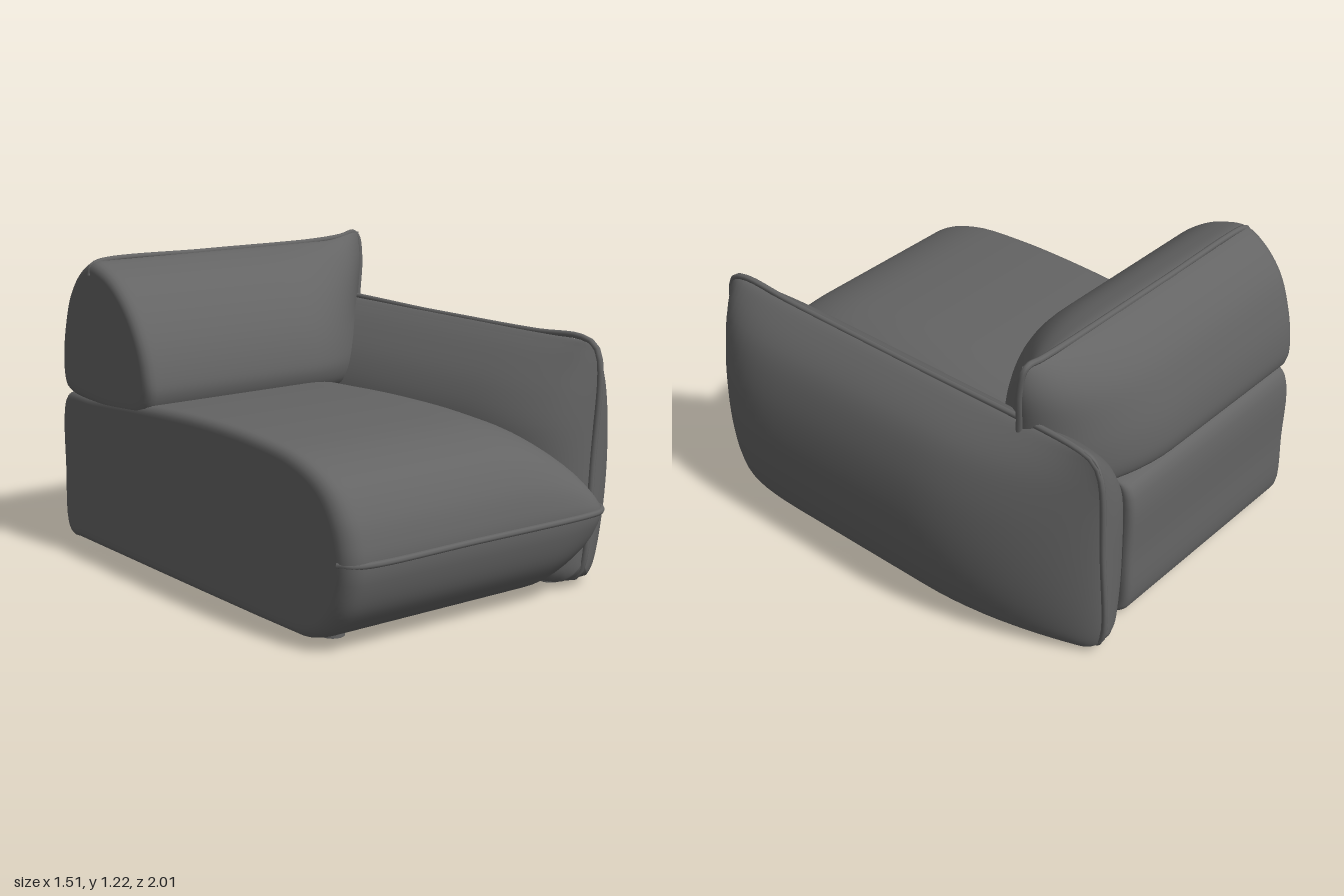
import * as THREE from 'three';

const STEPS = 5; // subdivisions between section points

// Smooth closed cross-section through a few [a, b] points
function section(points) {
  const curve = new THREE.CatmullRomCurve3(points.map(([a, b]) => new THREE.Vector3(a, b, 0)), true);
  return curve.getPoints(points.length * STEPS).slice(0, -1);
}

// Skin between closed loops; "open" tells which faces to leave out
function loft(rings, open) {
  const n = rings[0].length, pos = rings.flat(2), index = [];
  const mid = (ids, k) => ids.reduce((s, v) => s + pos[v * 3 + k], 0) / 4;
  for (let i = 0; i < rings.length - 1; i++) {
    for (let j = 0; j < n; j++) {
      const a = i * n + j, b = i * n + (j + 1) % n, c = a + n, d = b + n;
      const quad = [a, b, c, d];
      if (open(mid(quad, 0), mid(quad, 1), mid(quad, 2))) continue;
      index.push(a, b, c, b, d, c);
    }
  }
  const g = new THREE.BufferGeometry();
  g.setAttribute('position', new THREE.Float32BufferAttribute(pos, 3));
  g.setIndex(index);
  g.computeVertexNormals();
  return g;
}

// Inset of a rounded corner of radius r at distance d from the end
function corner(d, r) {
  const k = THREE.MathUtils.clamp(r - d, 0, r);
  return r - Math.sqrt(r * r - k * k);
}

// Pillow fullness: 1 in the middle, 0 at the seam
const puff = (u, a, b) => Math.pow(1 - Math.pow(THREE.MathUtils.clamp(u, 0, 1), a), b);

// Ring fractions, dense toward both ends
const fractions = (n) => Array.from({ length: n + 1 }, (_, i) => (1 - Math.cos(Math.PI * i / n)) / 2);

// Rings as [fraction, cap scale], closed by a cap at each end
const capped = (n) => [[0, 0], [0, 0.5], [0, 0.93], ...fractions(n).map((u) => [u, 1]), [1, 0.5], [1, 0]];

function seatGeometry() {
  const profile = section([
    [-0.84, 0.02], [-0.9, 0.02], [-0.935, 0.06], [-0.94, 0.3], [-0.935, 0.56], [-0.9, 0.62], [-0.7, 0.635],
    [-0.3, 0.665], [0.1, 0.685], [0.45, 0.68], [0.7, 0.65], [0.86, 0.58], [0.94, 0.48], [0.972, 0.39],
    [0.98, 0.33], [0.972, 0.26], [0.93, 0.15], [0.85, 0.065], [0.75, 0.025], [0.65, 0.02]]);
  const rings = capped(40).map(([u, cap]) => profile.map((p) => {
    // the pillow end is short at the back and full at the front
    const k = THREE.MathUtils.smoothstep(p.x, -0.9, 0.3);
    const end = 0.27 + 0.21 * k, x = -0.75 + u * (end + 0.75);
    const dl = x + 0.75, dr = end - x;
    const fullness = p.y > 0.33 ? puff(x / end, 2, 0.6) : puff((x - 0.2) / (end - 0.2), 2, 0.5);
    const f = 1 - k * (1 - fullness);
    const y = (p.y - 0.33) * f * (1 - corner(dl, 0.035) / 0.33);
    const inset = p.x > 0 ? corner(dl, 0.07) + corner(dr, 0.1) : corner(dl, 0.025) + corner(dr, 0.03);
    return [x, 0.33 + y * cap, p.x * (1 - inset / 0.96) * (u < 0.5 ? cap : 1)];
  }));
  return loft(rings, (x, y, z) => y < 0.03 && x > -0.69 && x < 0.2 && z > -0.84 && z < 0.65);
}

function backGeometry() {
  const profile = section([
    [-0.69, 1.175], [-0.78, 1.125], [-0.86, 1.03], [-0.91, 0.9], [-0.935, 0.78], [-0.935, 0.68], [-0.91, 0.635],
    [-0.7, 0.6], [-0.45, 0.6], [-0.3, 0.63], [-0.262, 0.7], [-0.268, 0.78], [-0.31, 0.9], [-0.39, 1.02],
    [-0.5, 1.115], [-0.6, 1.16]].reverse());
  const rings = capped(36).map(([u, cap]) => profile.map((p) => {
    const seam = -0.61 - 0.08 * (p.y - 0.6) / 0.575;
    const end = 0.55 + 0.04 * THREE.MathUtils.smoothstep(p.y, 0.85, 1.1);
    const x = -0.75 + u * (end + 0.75);
    const f = puff(x / end, 2, p.x > seam ? 1 : 0.6);
    const scale = 1 - corner(x + 0.75, 0.04) / 0.3;
    // the free top corner is drawn up to a point
    const lift = 0.025 * THREE.MathUtils.smoothstep(x, 0.4, 0.59) * Math.max(0, p.y - 0.9) / 0.27;
    const y = 0.89 + (p.y - 0.89) * (u < 0.5 ? scale * cap : 1) + lift;
    return [x, y, seam + (p.x - seam) * f * scale * cap];
  }));
  return loft(rings, () => false);
}

const armSeam = (y) => 0.46 + 0.075 * y;

function armGeometry() {
  const profile = section([
    [0.53, 0.93], [0.6, 0.885], [0.68, 0.79], [0.73, 0.65], [0.75, 0.48], [0.74, 0.3], [0.705, 0.15], [0.66, 0.06],
    [0.6, 0.02], [0.56, 0.018], [0.37, 0.018], [0.33, 0.02], [0.27, 0.06], [0.235, 0.2], [0.225, 0.4],
    [0.235, 0.6], [0.3, 0.73], [0.4, 0.84], [0.48, 0.905]].reverse());
  const rings = fractions(40).map((u) => profile.map((p) => {
    const z = -0.99 + 1.84 * u, seam = armSeam(p.y);
    const back = p.x > seam ? puff((-0.29 - z) / 0.7, 2, 0.8) : puff((-0.29 - z) / 0.7, 8, 0.5);
    const f = back * puff((z - 0.35) / 0.5, 3, 0.5);
    const round = 1 - corner(Math.min(z + 0.99, 0.85 - z), 0.08) / 0.455;
    return [seam + (p.x - seam) * f, 0.474 + (p.y - 0.474) * round, z];
  }));
  return loft(rings, (x, y, z) => y < 0.03 && x > 0.37 && x < 0.56 && z > -0.82 && z < 0.74);
}

export function createModel() {
  const group = new THREE.Group();
  const fabric = new THREE.MeshStandardMaterial({ name: 'charcoal fabric', color: 0x646464, side: THREE.DoubleSide });
  const add = (name, geometry) => {
    const mesh = new THREE.Mesh(geometry, fabric);
    mesh.name = name;
    group.add(mesh);
    return mesh;
  };
  const piping = (name, points, closed = false) => {
    const curve = new THREE.CatmullRomCurve3(points.map((p) => new THREE.Vector3(...p)), closed);
    add(name, new THREE.TubeGeometry(curve, 120, 0.012, 8, closed));
  };

  // Cushions
  add('seatCushion', seatGeometry());
  add('backCushion', backGeometry());
  add('armCushion', armGeometry());

  // Piping along the seams
  piping('seatPiping', [[-0.745, 0.33, 0.91], [-0.72, 0.33, 0.955], [-0.65, 0.33, 0.98], [-0.2, 0.33, 0.982],
    [0.36, 0.33, 0.982], [0.43, 0.33, 0.965], [0.475, 0.33, 0.92], [0.48, 0.33, 0.85], [0.48, 0.33, 0.5]]);
  piping('backPiping', [[-0.745, 1.12, -0.685], [-0.735, 1.155, -0.69], [-0.7, 1.172, -0.69], [-0.2, 1.176, -0.69],
    [0.35, 1.178, -0.69], [0.5, 1.188, -0.695], [0.57, 1.2, -0.7], [0.588, 1.18, -0.695], [0.588, 1.08, -0.677],
    [0.565, 0.95, -0.66], [0.55, 0.85, -0.645]]);
  const outline = [[0.94, 0.75], [0.915, 0.82], [0.85, 0.852], [0.5, 0.855], [0.1, 0.85], [0.04, 0.82], [0.018, 0.75],
    [0.018, -0.1], [0.018, -0.9], [0.04, -0.96], [0.1, -0.988], [0.5, -0.99], [0.84, -0.985], [0.9, -0.955],
    [0.925, -0.88], [0.927, -0.1], [0.93, 0.5]];
  piping('armPiping', outline.map(([y, z]) => [armSeam(y), y, z]), true);

  // Feet
  for (const x of [-0.605, 0.44]) {
    for (const z of [0.7, -0.78]) {
      add('foot', new THREE.CylinderGeometry(0.043, 0.043, 0.035, 20)).position.set(x, 0.0175, z);
    }
  }
  return group;
}
